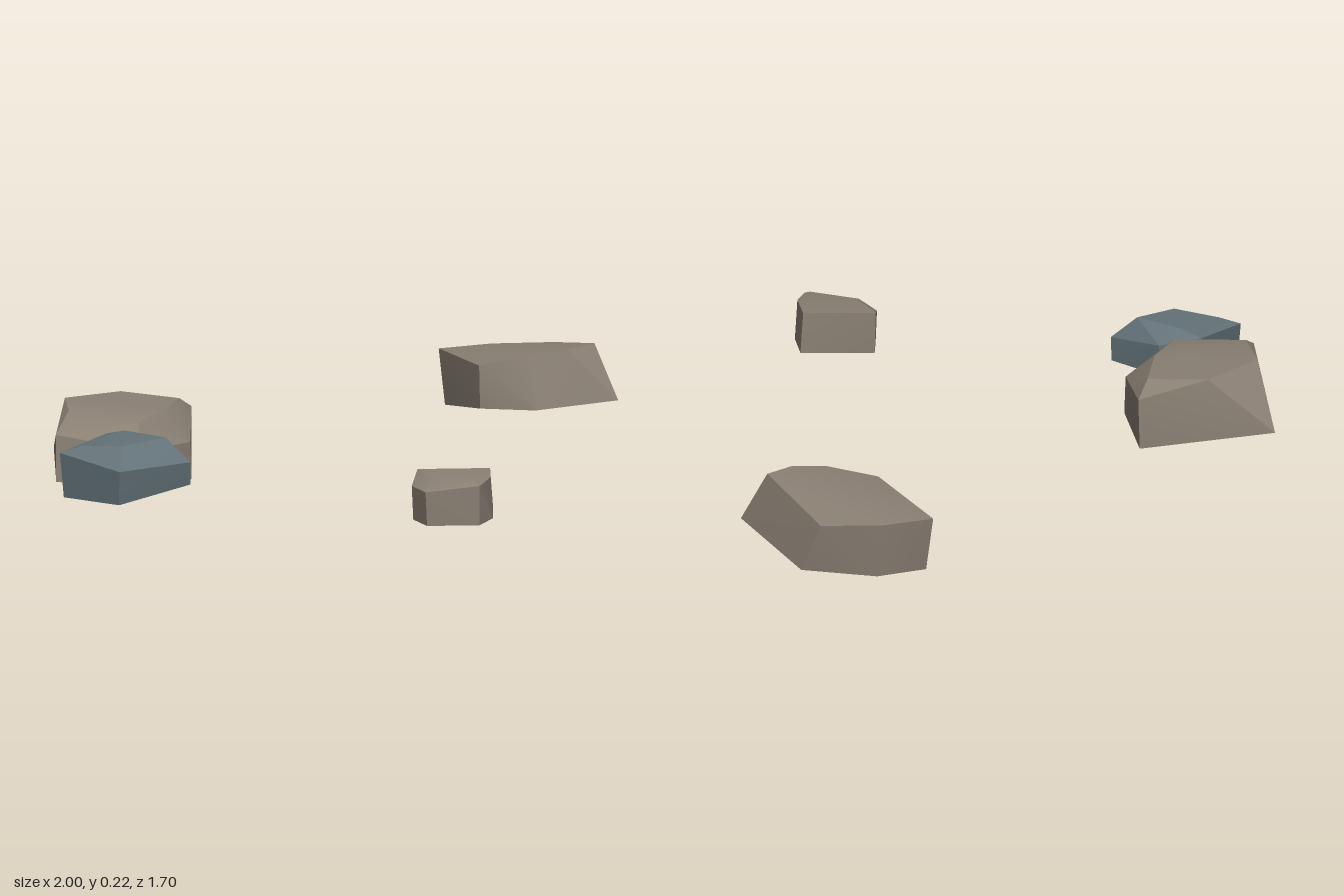
import * as THREE from 'three';
import { ConvexGeometry } from 'three/addons/geometries/ConvexGeometry.js';
import { toCreasedNormals } from 'three/addons/utils/BufferGeometryUtils.js';

// Each rock is the convex hull of a base ring, a shoulder ring and a crown.
function makeRock(name, material, { base, shoulder, crown }) {
  const points = [...base, ...shoulder, ...crown].map((p) => new THREE.Vector3(...p));
  const mesh = new THREE.Mesh(toCreasedNormals(new ConvexGeometry(points), 0.42), material);
  mesh.name = name;
  return mesh;
}

export function createModel() {
  const group = new THREE.Group();
  group.name = 'rocks';

  const brownStone = new THREE.MeshStandardMaterial({ color: 0x8a8074 });
  brownStone.name = 'brownStone';
  const blueStone = new THREE.MeshStandardMaterial({ color: 0x647379 });
  blueStone.name = 'blueStone';

  // Large rock at the back right, its rear base corner lifted
  group.add(makeRock('largeRock', brownStone, {
    base: [[-0.69, 0.04, -0.67], [-0.37, 0.01, -0.47], [-0.525, 0.005, -0.21], [-0.72, 0, -0.15], [-0.91, 0.02, -0.3]],
    shoulder: [[-0.365, 0.155, -0.47], [-0.53, 0.11, -0.21], [-0.72, 0.11, -0.155], [-0.905, 0.15, -0.31]],
    crown: [[-0.74, 0.205, -0.53], [-0.54, 0.2, -0.56], [-0.43, 0.19, -0.43], [-0.56, 0.19, -0.3], [-0.82, 0.2, -0.38], [-0.7, 0.18, -0.21]],
  }));

  // Blue-grey rock leaning against the large one
  group.add(makeRock('blueRock', blueStone, {
    base: [[-0.99, 0.01, -0.13], [-0.94, 0.015, 0.08], [-0.69, 0.045, 0.05], [-0.71, 0.05, -0.145], [-0.8, 0.03, -0.2]],
    shoulder: [[-1, 0.135, -0.135], [-0.945, 0.11, 0.09], [-0.695, 0.11, 0.06], [-0.705, 0.14, -0.14], [-0.8, 0.16, -0.21]],
    crown: [[-0.95, 0.155, -0.1], [-0.88, 0.165, 0.01], [-0.74, 0.175, 0], [-0.78, 0.175, -0.15]],
  }));

  // Small block at the front
  group.add(makeRock('smallRock', brownStone, {
    base: [[-0.275, 0.01, 0.58], [-0.1, 0.02, 0.69], [-0.165, 0.015, 0.795], [-0.24, 0.01, 0.845], [-0.355, 0.005, 0.755], [-0.335, 0.005, 0.65]],
    shoulder: [[-0.24, 0.12, 0.845], [-0.36, 0.1, 0.755], [-0.34, 0.1, 0.65]],
    crown: [[-0.275, 0.13, 0.575], [-0.11, 0.135, 0.69], [-0.17, 0.13, 0.79], [-0.24, 0.13, 0.82], [-0.305, 0.13, 0.7]],
  }));

  // Tilted rock at the back left, its front edge raised
  group.add(makeRock('tiltedRock', brownStone, {
    base: [[0.6, 0.05, -0.515], [0.7, 0.055, -0.385], [0.935, 0.07, -0.33], [0.995, 0.03, -0.67], [0.83, 0.01, -0.8], [0.68, 0.005, -0.83]],
    shoulder: [[0.6, 0.17, -0.52], [0.97, 0.17, -0.725], [0.825, 0.165, -0.82], [0.675, 0.16, -0.855]],
    crown: [[0.71, 0.2, -0.43], [0.81, 0.215, -0.4], [0.91, 0.22, -0.415]],
  }));

  return group;
}
